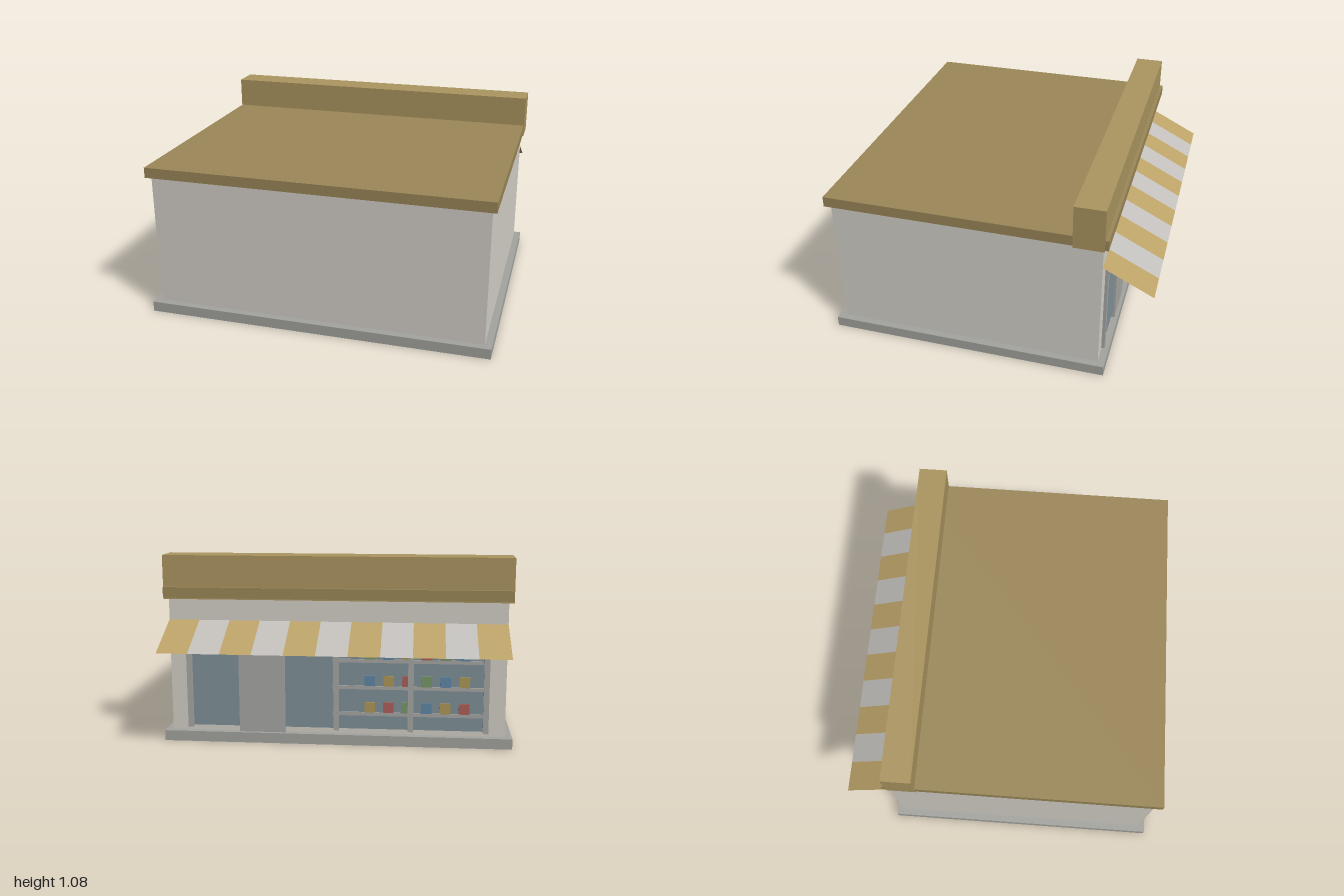
import * as THREE from 'three';

const mat = (color, side = THREE.FrontSide) => new THREE.MeshStandardMaterial({ color, side });
const wallMat = mat(0xd6d2ca), slabMat = mat(0xa4a4a0), roofMat = mat(0x9c8858);
const parapetMat = mat(0xac9660), glassMat = mat(0x80929a), frameMat = mat(0xa8a8a6);
const stripeMats = [mat(0xbca368, THREE.DoubleSide), mat(0xc3c0bc, THREE.DoubleSide)];
const goodsMats = [0xb0605a, 0xb09a58, 0x6088a8, 0x789a68].map(c => mat(c));

export function createModel() {
  const model = new THREE.Group();
  model.name = 'shop';

  // Box given by its lower and upper limits on each axis
  const box = (name, material, [x0, x1], [y0, y1], [z0, z1], parent = model) => {
    const mesh = new THREE.Mesh(new THREE.BoxGeometry(x1 - x0, y1 - y0, z1 - z0), material);
    mesh.position.set((x0 + x1) / 2, (y0 + y1) / 2, (z0 + z1) / 2);
    mesh.name = name;
    parent.add(mesh);
  };
  const group = name => {
    const g = new THREE.Group();
    g.name = name;
    model.add(g);
    return g;
  };

  // Building shell
  box('baseSlab', slabMat, [-1, 1], [0, 0.06], [-0.69, 0.93]);
  box('walls', wallMat, [-0.96, 0.96], [0.06, 0.84], [-0.65, 0.89]);
  box('roof', roofMat, [-0.985, 0.985], [0.84, 0.9], [-0.68, 0.92]);
  box('parapet', parapetMat, [-0.988, 0.988], [0.83, 1.08], [-0.66, -0.49]);

  // Shop window with five posts
  box('windowGlass', glassMat, [-0.85, 0.85], [0.09, 0.625], [-0.655, -0.648]);
  const posts = group('windowPosts');
  for (let i = -2; i <= 2; i++) {
    const x = i * 0.425;
    box('post', frameMat, [x - 0.016, x + 0.016], [0.08, 0.65], [-0.668, -0.65], posts);
  }

  // Double door
  const doors = group('doors');
  for (const s of [-1, 1]) {
    const a = 0.428 + s * 0.002, b = 0.428 + s * 0.133;
    box('doorLeaf', frameMat, [Math.min(a, b), Math.max(a, b)], [0.06, 0.54], [-0.67, -0.65], doors);
  }

  // Display shelves with rows of goods
  const display = group('display');
  for (let row = 0; row < 3; row++) {
    const y = 0.22 + row * 0.155;
    box('shelf', frameMat, [-0.85, 0.02], [y - 0.05, y - 0.03], [-0.664, -0.65], display);
    for (let i = 0; i < 6; i++) {
      const x = -0.727 + i * 0.107;
      box('goods', goodsMats[(i + row) % 4], [x - 0.03, x + 0.03], [y - 0.03, y + 0.03],
        [-0.665, -0.65], display);
    }
  }

  // Sloping striped awning
  const awning = group('awning');
  const stripes = 11, width = 1.92 / stripes, drop = 0.14, reach = 0.28;
  const stripeGeo = new THREE.PlaneGeometry(width, Math.hypot(drop, reach));
  for (let i = 0; i < stripes; i++) {
    const stripe = new THREE.Mesh(stripeGeo, stripeMats[i % 2]);
    stripe.name = 'awningStripe';
    stripe.position.set((i - (stripes - 1) / 2) * width, 0.64, -0.79);
    stripe.rotation.x = Math.atan2(reach, drop);
    awning.add(stripe);
  }

  return model;
}
